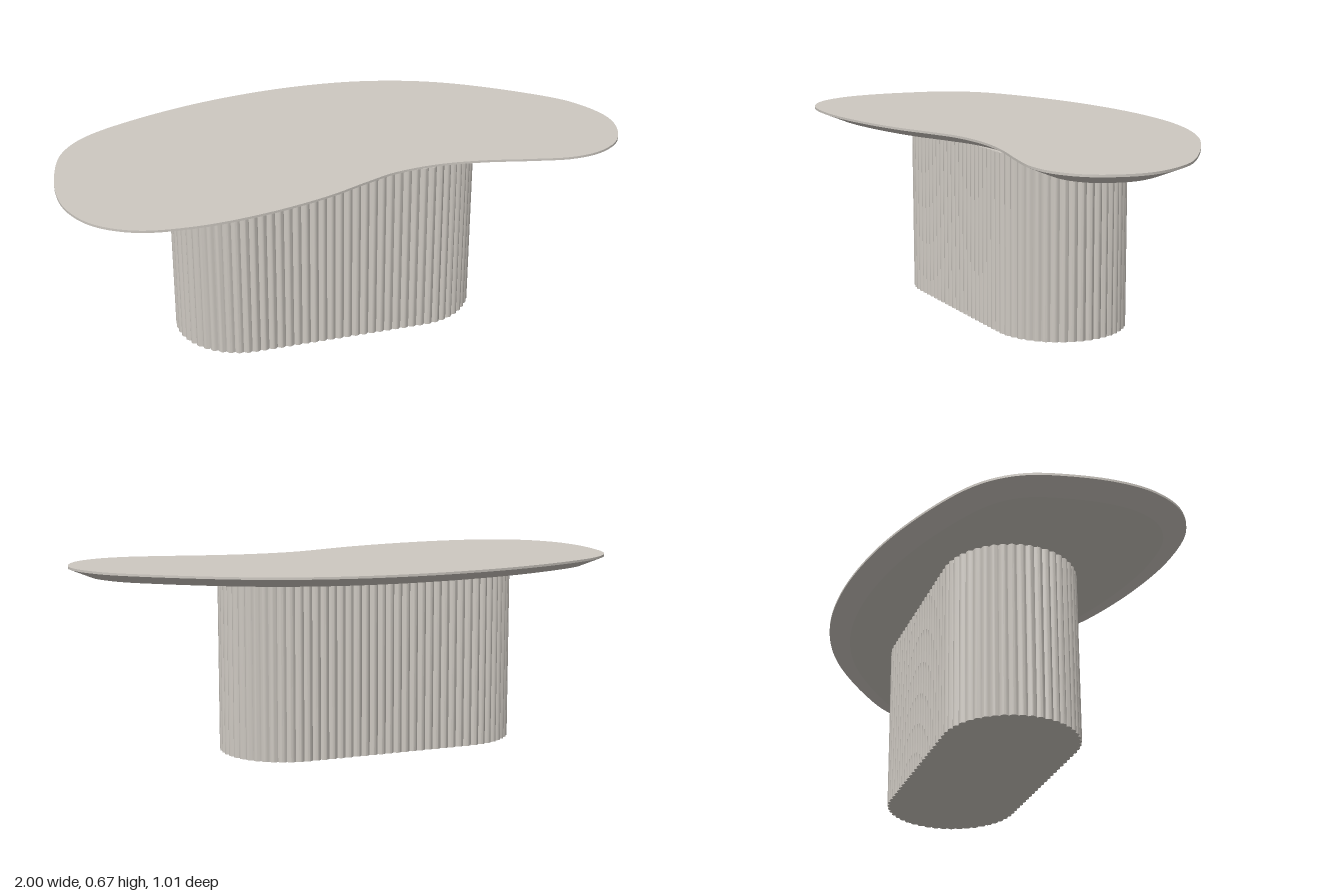
import * as THREE from 'three';
import { toCreasedNormals } from 'three/addons/utils/BufferGeometryUtils.js';

// Closed solid through matching outlines (x, z) stacked at rising heights
function loft(rings, crease) {
  const pos = [];
  const put = (ring, i) => {
    const p = ring.points[i % ring.points.length];
    pos.push(p.x, ring.y, p.y);
  };
  for (let r = 0; r < rings.length - 1; r++) {
    const lo = rings[r], hi = rings[r + 1];
    for (let i = 0; i < lo.points.length; i++) {
      put(lo, i); put(hi, i); put(lo, i + 1);
      put(lo, i + 1); put(hi, i); put(hi, i + 1);
    }
  }
  const cap = (ring, up) => {
    for (const [a, b, c] of THREE.ShapeUtils.triangulateShape(ring.points, [])) {
      const area = THREE.ShapeUtils.area([a, b, c].map((i) => ring.points[i]));
      const order = (area < 0) === up ? [a, b, c] : [a, c, b];
      order.forEach((i) => put(ring, i));
    }
  };
  cap(rings[0], false);
  cap(rings[rings.length - 1], true);
  const geometry = new THREE.BufferGeometry();
  geometry.setAttribute('position', new THREE.Float32BufferAttribute(pos, 3));
  return toCreasedNormals(geometry, crease);
}

// Move an outline inwards along its normals
function inset(points, distance) {
  const n = points.length;
  return points.map((p, i) => {
    const t = points[(i + 1) % n].clone().sub(points[(i + n - 1) % n]).normalize();
    return new THREE.Vector2(p.x - t.y * distance, p.y + t.x * distance);
  });
}

// Kidney-shaped outline of the top: left end, back, right end, front
function kidneyOutline() {
  const pts = [
    [-1, 0.14], [-0.984, -0.013], [-0.947, -0.147], [-0.888, -0.235], [-0.8, -0.305],
    [-0.556, -0.412], [-0.29, -0.482], [0, -0.51], [0.27, -0.484], [0.524, -0.393],
    [0.807, -0.195], [0.94, -0.055], [1, 0.12], [0.947, 0.285], [0.85, 0.358],
    [0.738, 0.377], [0.594, 0.352], [0.433, 0.315], [0.273, 0.298], [0.112, 0.315],
    [0, 0.356], [-0.155, 0.42], [-0.385, 0.48], [-0.61, 0.503], [-0.797, 0.477],
    [-0.92, 0.393], [-0.984, 0.27],
  ].map(([x, z]) => new THREE.Vector3(x, 0, z));
  const curve = new THREE.CatmullRomCurve3(pts, true, 'centripetal');
  return curve.getSpacedPoints(180).slice(0, -1).map((p) => new THREE.Vector2(p.x, p.z));
}

// Stadium outline wrapped in convex reeds
function reededOutline(cx, cz, half, radius, reeds, bulge) {
  const steps = 6, arc = Math.PI * radius, side = 2 * half;
  const total = 2 * (arc + side), out = [];
  for (let i = 0; i < reeds * steps; i++) {
    let s = (i / (reeds * steps)) * total;
    const sign = s < total / 2 ? 1 : -1;
    if (sign < 0) s -= total / 2;
    // First half runs along the back and round the right end; second half mirrors it
    const angle = s < side ? 0 : (s - side) / radius;
    const x = s < side ? s - half : half;
    const r = radius + bulge * Math.sin(Math.PI * (i % steps) / steps);
    out.push(new THREE.Vector2(
      cx + sign * (x + r * Math.sin(angle)),
      cz - sign * r * Math.cos(angle)));
  }
  return out;
}

export function createModel() {
  const stone = new THREE.MeshStandardMaterial({ color: 0xcdc8c1 });
  stone.name = 'warm grey';
  const model = new THREE.Group();
  model.name = 'table';

  // Top with a thin lip and a wide bevel underneath
  const rim = kidneyOutline();
  const top = new THREE.Mesh(loft([
    { points: inset(rim, 0.078), y: 0.628 },
    { points: rim, y: 0.66 },
    { points: rim, y: 0.668 },
  ], 0.3), stone);
  top.name = 'tableTop';

  // Reeded pedestal
  const wall = reededOutline(-0.05, 0.003, 0.3125, 0.2285, 88, 0.009);
  const base = new THREE.Mesh(loft([
    { points: wall, y: 0 },
    { points: wall, y: 0.628 },
  ], 0.7), stone);
  base.name = 'reededBase';

  model.add(top, base);
  return model;
}
